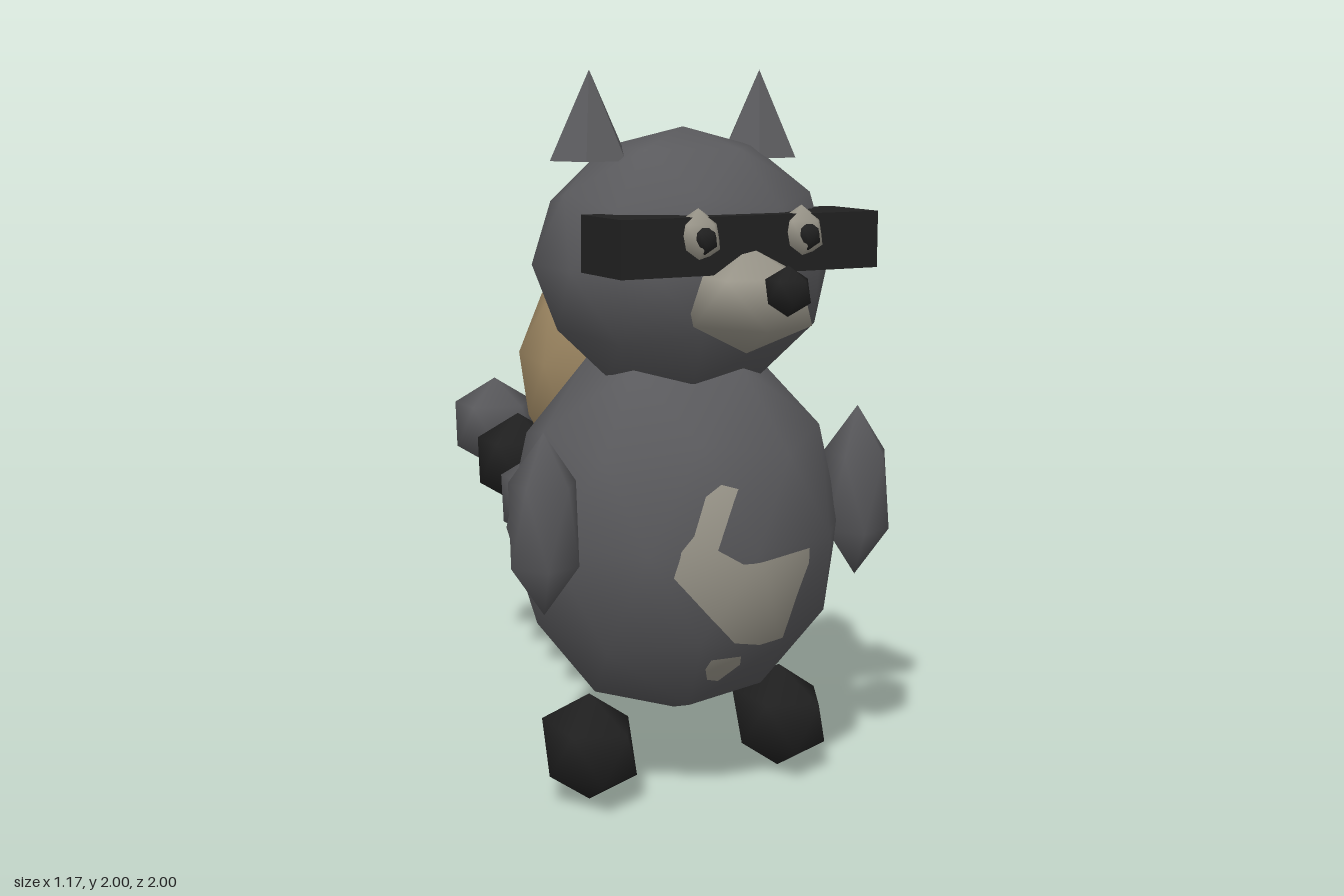
import * as THREE from 'three';

const mat = (name, color, extra = {}) => {
  const m = new THREE.MeshStandardMaterial({ color, ...extra });
  m.name = name;
  return m;
};

// Unit icosphere standing on a corner, with smooth normals
function icosphere(detail) {
  const g = new THREE.IcosahedronGeometry(1, detail);
  g.rotateZ(-Math.atan(2 / (1 + Math.sqrt(5))));
  g.setAttribute('normal', g.attributes.position.clone());
  return g;
}

export function createModel() {
  const root = new THREE.Group();
  root.name = 'raccoon';

  const grey = mat('greyFur', 0x5a5a5d);
  const earGrey = mat('earGrey', 0x5a5a5d, { flatShading: true });
  const black = mat('blackFur', 0x212121);
  const pale = mat('paleFur', 0x9b978b);
  const tan = mat('sackTan', 0x9a8460);
  const brown = mat('knotBrown', 0x5c4931);

  const coarse = icosphere(0);
  const fine = icosphere(1);

  const add = (name, geo, material, pos, scale = [1, 1, 1]) => {
    const m = new THREE.Mesh(geo, material);
    m.name = name;
    m.position.set(...pos);
    m.scale.set(...scale);
    root.add(m);
    return m;
  };

  // Body and head
  const bodyPos = [0, 0.745, 0.365];
  const bodySize = [0.48, 0.545, 0.455];
  add('body', fine, grey, bodyPos, bodySize);
  add('head', fine, grey, [0, 1.48, 0.4], [0.422, 0.368, 0.375]);

  // Face
  add('mask', new THREE.BoxGeometry(0.77, 0.15, 0.225), black, [0, 1.555, 0.663]);
  add('muzzle', coarse, pale, [0, 1.41, 0.745], [0.178, 0.142, 0.218]);
  add('nose', coarse, black, [0, 1.45, 0.944], [0.065, 0.065, 0.064]);

  // Paired parts
  const earGeo = new THREE.ConeGeometry(0.117, 0.24, 6, 1, false, Math.PI / 6);
  for (const [side, s] of [['left', 1], ['right', -1]]) {
    add(side + 'Ear', earGeo, earGrey, [s * 0.265, 1.88, 0.36]);
    add(side + 'Eye', coarse, pale, [s * 0.155, 1.58, 0.758], [0.065, 0.072, 0.06]);
    add(side + 'Pupil', coarse, black, [s * 0.155, 1.575, 0.793], [0.036, 0.04, 0.033]);
    add(side + 'Arm', coarse, grey, [s * 0.492, 0.82, 0.542], [0.106, 0.245, 0.106]);
    add(side + 'Foot', coarse, black, [s * 0.307, 0.152, 0.437], [0.136, 0.152, 0.184]);
  }

  // Ringed tail rising to the back
  for (let i = 0; i < 5; i++) {
    add('tailRing' + (i + 1), coarse, i % 2 ? black : grey,
      [0, 0.468 + i * 0.092, -0.136 - i * 0.185], [0.153, 0.152, 0.143]);
  }

  // Sack on the back with a square knot
  const sack = add('sack', fine, tan, [0.08, 1.13, -0.08], [0.335, 0.38, 0.278]);
  sack.rotation.set(0.1, 0, -0.12);
  add('sackKnot', new THREE.BoxGeometry(0.155, 0.075, 0.15), brown, [0.08, 1.517, -0.078]);

  // Front-facing planes of the body, used to lay the belly patches on it
  const planes = [];
  const bp = fine.attributes.position;
  const centre = new THREE.Vector3(...bodyPos);
  const size = new THREE.Vector3(...bodySize);
  const corner = (i) => new THREE.Vector3().fromBufferAttribute(bp, i).multiply(size).add(centre);
  for (let i = 0; i < bp.count; i += 3) {
    const p = new THREE.Plane().setFromCoplanarPoints(corner(i), corner(i + 1), corner(i + 2));
    if (p.normal.z > 0.05) planes.push(p);
  }
  const surfaceZ = (x, y) => Math.min(...planes.map(
    (p) => -(p.constant + p.normal.x * x + p.normal.y * y) / p.normal.z));

  // Flat outline, split finely and pressed onto the body
  function patch(name, outline) {
    const shape = new THREE.Shape(outline.map(([x, y]) => new THREE.Vector2(x, y)));
    const flat = new THREE.ShapeGeometry(shape).toNonIndexed().attributes.position;
    let pts = [];
    for (let i = 0; i < flat.count; i++) pts.push(new THREE.Vector3().fromBufferAttribute(flat, i));
    for (let n = 0; n < 4; n++) {
      const next = [];
      for (let i = 0; i < pts.length; i += 3) {
        const [a, b, c] = pts.slice(i, i + 3);
        const ab = a.clone().lerp(b, 0.5), bc = b.clone().lerp(c, 0.5), ca = c.clone().lerp(a, 0.5);
        next.push(a, ab, ca, ab, b, bc, ca, bc, c, ab, bc, ca);
      }
      pts = next;
    }
    pts = pts.map((p) => new THREE.Vector3(p.x, p.y, surfaceZ(p.x, p.y) + 0.005));
    const g = new THREE.BufferGeometry().setFromPoints(pts);
    const normals = pts.flatMap((p) =>
      p.clone().sub(centre).divide(size).divide(size).normalize().toArray());
    g.setAttribute('normal', new THREE.Float32BufferAttribute(normals, 3));
    add(name, g, pale, [0, 0, 0]);
  }

  patch('bellyPatch', [
    [-0.127, 0.9], [-0.085, 0.93], [-0.037, 0.915], [-0.058, 0.88], [-0.09, 0.8],
    [-0.106, 0.76], [-0.04, 0.72], [0.053, 0.723], [0.196, 0.729], [0.2, 0.686],
    [0.17, 0.61], [0.127, 0.484], [0.053, 0.473], [-0.03, 0.49], [-0.106, 0.564],
    [-0.185, 0.654], [-0.217, 0.69], [-0.2, 0.76], [-0.164, 0.8],
  ]);
  patch('lowerBellyPatch', [
    [-0.08, 0.44], [0.01, 0.44], [0.02, 0.41], [-0.026, 0.36], [-0.063, 0.37], [-0.085, 0.41],
  ]);

  return root;
}
